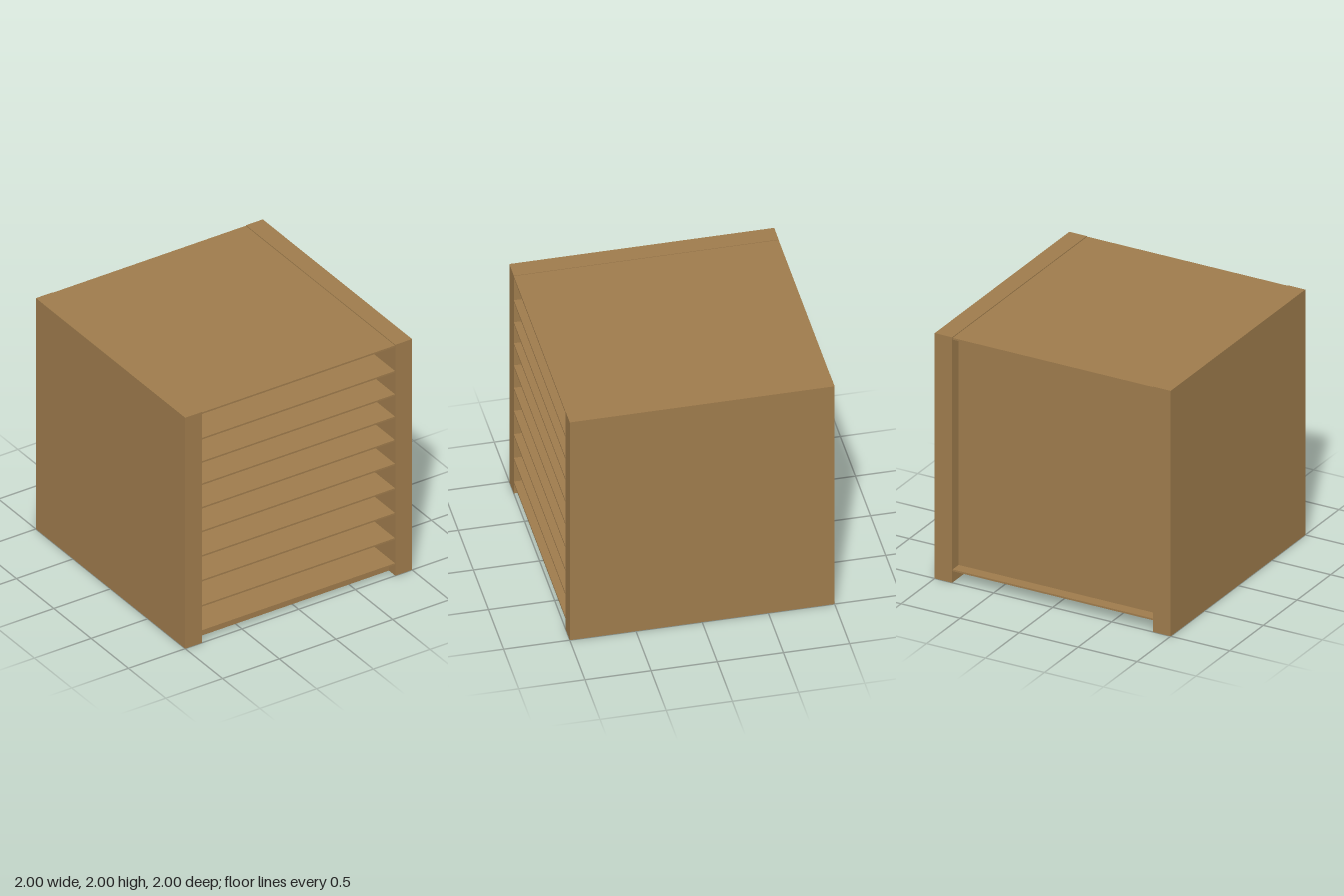
import * as THREE from 'three';

export function createModel() {
  const group = new THREE.Group();
  group.name = 'shelfCabinet';
  const wood = new THREE.MeshStandardMaterial({ color: 0x9e7b4c });
  wood.name = 'wood brown';

  // Box given by its minimum and maximum corner
  function board(name, min, max) {
    const size = max.map((v, i) => v - min[i]);
    const mesh = new THREE.Mesh(new THREE.BoxGeometry(...size), wood);
    mesh.position.set(...max.map((v, i) => (v + min[i]) / 2));
    mesh.name = name;
    group.add(mesh);
  }

  const inner = 0.852;     // inside face of the side panels
  const end = 0.849;       // end of the boards
  const thick = 0.014;     // thickness of the boards
  const backZ = -0.91;     // outside face of the recessed back

  // Thick side panels
  board('leftSide', [inner, 0, -1], [1, 2, 1]);
  board('rightSide', [-1, 0, -1], [-inner, 2, 1]);

  // Top and bottom boards run the full depth
  board('top', [-inner, 1.982, -1], [end, 1.996, 1]);
  board('bottom', [-inner, 0.095, -1], [end, 0.095 + thick, 1]);

  // Recessed back panel
  board('back', [-inner, 0.1, backZ], [end, 1.985, backZ + 0.02]);

  // Shelves, with slightly taller gaps lower down
  const levels = [1.768, 1.566, 1.373, 1.17, 0.964, 0.752, 0.538, 0.32];
  levels.forEach((y, i) => {
    board('shelf' + (i + 1), [-inner, y - thick / 2, backZ + 0.01], [end, y + thick / 2, 1]);
  });

  // Plinth set back under the bottom board
  board('plinth', [-inner, 0.004, 0.745], [end, 0.1, 0.92]);

  return group;
}
